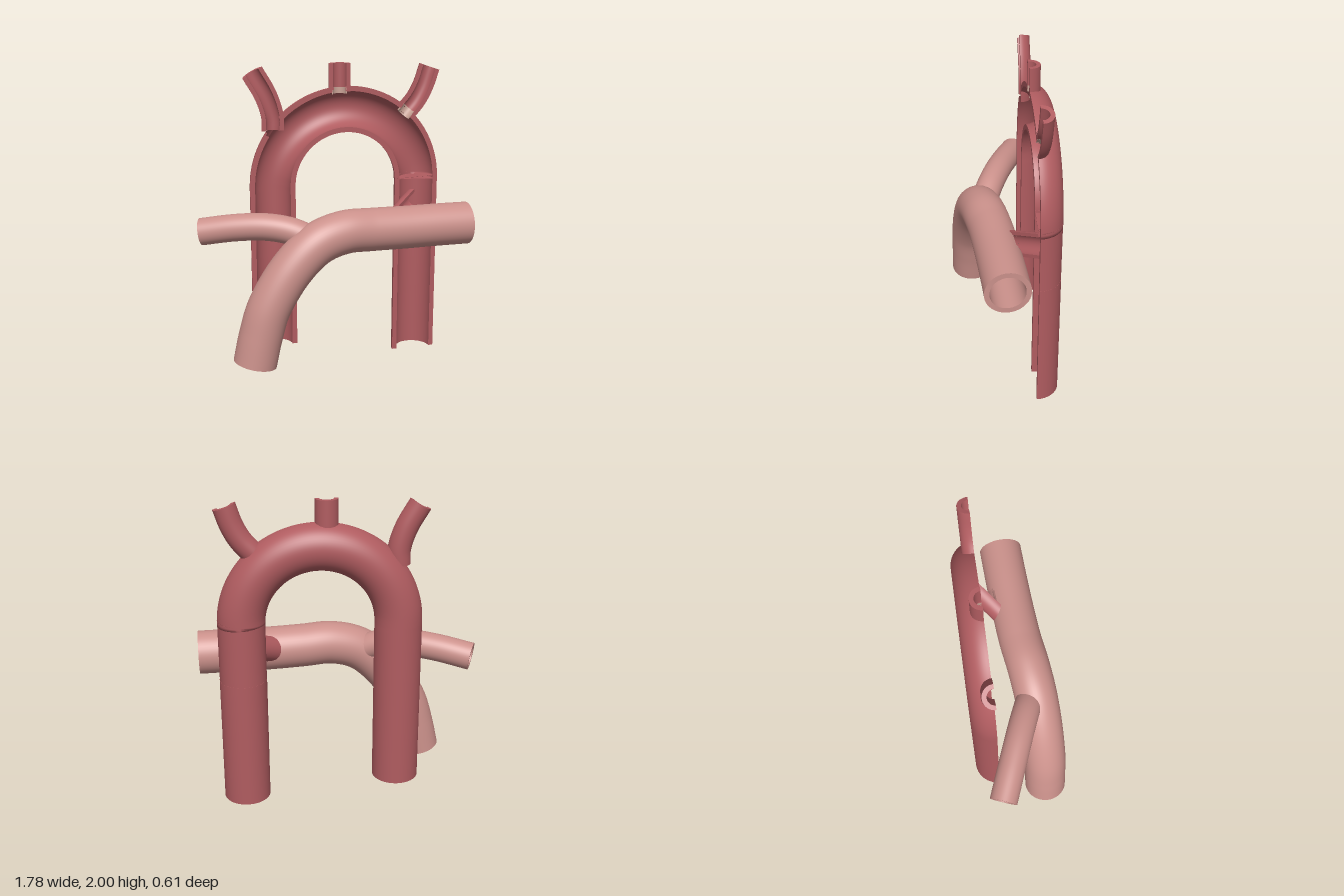
import * as THREE from 'three';
import { mergeGeometries, mergeVertices } from 'three/addons/utils/BufferGeometryUtils.js';

const V = (x, y, z) => new THREE.Vector3(x, y, z);
const CUT = -0.155; // plane in which the arch is sliced open
const FRONT = V(0, 0, 1);

const material = (name, color) =>
  Object.assign(new THREE.MeshStandardMaterial({ color, side: THREE.DoubleSide }), { name });

// Grid surface from a rule; cells whose middle lies in a hole are left out
function sheet(nu, nv, rule, inHole) {
  const pos = [], index = [], pts = [];
  for (let i = 0; i <= nu; i++) {
    for (let j = 0; j <= nv; j++) {
      const p = rule(i / nu, j / nv);
      pts.push(p);
      pos.push(p.x, p.y, p.z);
    }
  }
  for (let i = 0; i < nu; i++) {
    for (let j = 0; j < nv; j++) {
      const a = i * (nv + 1) + j, b = a + 1, c = a + nv + 1, d = c + 1;
      if (inHole && inHole(pts[a].clone().add(pts[d]).multiplyScalar(0.5))) continue;
      index.push(a, b, c, b, d, c);
    }
  }
  let g = new THREE.BufferGeometry();
  g.setAttribute('position', new THREE.Float32BufferAttribute(pos, 3));
  g.setIndex(index);
  g = mergeVertices(g, 1e-5);
  g.computeVertexNormals();
  return g;
}

// Thick-walled pipe along a curve; a half pipe opens toward "open"
function pipe(curve, R, r, { half = false, open = FRONT, nu = 40, inHole = null } = {}) {
  const A = half ? Math.PI : Math.PI * 2, nv = half ? 28 : 48;
  const frames = [];
  for (let i = 0; i <= nu; i++) {
    const P = curve.getPointAt(i / nu), T = curve.getTangentAt(i / nu);
    const B = T.clone().cross(open).normalize();
    frames.push({ P, B, N: B.clone().cross(T) });
  }
  const at = (u, a, rad) => {
    const { P, B, N } = frames[Math.round(u * nu)];
    return P.clone().addScaledVector(B, Math.cos(a) * rad).addScaledVector(N, -Math.sin(a) * rad);
  };
  const w = R - r;
  const parts = [
    sheet(nu, nv, (s, t) => at(s, A * t, R), inHole),
    sheet(nu, nv, (s, t) => at(s, A * (1 - t), r), inHole),
    sheet(1, nv, (s, t) => at(0, A * t, r + w * s)),
    sheet(1, nv, (s, t) => at(1, A * t, R - w * s)),
  ];
  if (half) {
    parts.push(sheet(nu, 4, (s, t) => at(s, 0, r + w * t), inHole));
    parts.push(sheet(nu, 4, (s, t) => at(s, Math.PI, R - w * t), inHole));
  }
  return mergeGeometries(parts);
}

const path = (...p) => new THREE.CatmullRomCurve3(p.map((q) => V(...q)));

// Test for points close to the first part of a curve
function near(curves, radius, reach = 0.4) {
  const pts = curves.flatMap((c) => Array.from({ length: 13 }, (_, i) => c.getPointAt((i / 12) * reach)));
  return (p) => pts.some((q) => q.distanceTo(p) < radius);
}

export function createModel() {
  const group = new THREE.Group();
  const red = material('arteryRed', 0xb05c60);
  const pink = material('trunkPink', 0xcb918b);
  const pale = material('liningPale', 0xcaa396);
  const add = (name, geometry, mat) => {
    const m = new THREE.Mesh(geometry, mat);
    m.name = name;
    group.add(m);
  };

  // Branches on top of the arch
  const branches = {
    rightBranch: path([-0.385, 1.585, CUT], [-0.385, 1.68, CUT], [-0.425, 1.81, CUT], [-0.508, 1.958, CUT]),
    middleBranch: path([0.057, 1.82, CUT], [0.057, 1.91, CUT], [0.057, 2, CUT]),
    leftBranch: path([0.505, 1.67, CUT], [0.575, 1.75, CUT], [0.625, 1.84, CUT], [0.667, 1.963, CUT]),
  };
  for (const [name, c] of Object.entries(branches))
    add(name, pipe(c, 0.072, 0.045, { half: true, nu: 24 }), red);

  // Pale linings where branches open into the arch
  const linings = {
    middleLining: path([0.057, 1.805, CUT], [0.057, 1.845, CUT]),
    leftLining: path([0.49, 1.655, CUT], [0.53, 1.70, CUT]),
  };
  for (const [name, c] of Object.entries(linings))
    add(name, pipe(c, 0.05, 0.043, { half: true, nu: 2 }), pale);

  // Sliced arch with its short leg
  const arch = [];
  for (const y of [0.12, 0.4, 0.7, 0.95, 1.1, 1.17]) arch.push([-0.39, y, CUT]);
  for (let i = 0; i <= 24; i++) {
    const a = Math.PI * (1 - i / 24);
    arch.push([0.1 + 0.49 * Math.cos(a), 1.215 + 0.49 * Math.sin(a), CUT]);
  }
  arch.push([0.59, 1.24, CUT]);
  const inHole = near(Object.values(branches), 0.046);
  add('arch', pipe(path(...arch), 0.15, 0.117, { half: true, nu: 220, inHole }), red);

  // Long leg in two lengths
  add('upperLeg', pipe(path([0.59, 1.24, CUT], [0.59, 0.84, CUT]), 0.149, 0.117, { half: true, nu: 4 }), red);
  add('lowerLeg', pipe(path([0.59, 0.84, CUT], [0.59, 0, CUT]), 0.15, 0.119, { half: true, nu: 4 }), red);

  // Sliced duct joining the trunk to the long leg
  const duct = path([0.34, 0.945, 0.055], [0.6, 1.066, -0.178]);
  add('duct', pipe(duct, 0.083, 0.06, { half: true, open: V(0.67, 0, 0.74), nu: 12 }), red);

  // Trunk sweeping across the front
  const trunk = path([-0.59, 0.15, 0.165], [-0.55, 0.33, 0.165], [-0.49, 0.52, 0.165], [-0.34, 0.755, 0.155],
    [-0.17, 0.905, 0.138], [0.01, 0.96, 0.115], [0.2, 0.957, 0.088], [0.42, 0.95, 0.07], [0.65, 0.947, 0.056],
    [0.876, 0.943, 0.046]);
  add('trunk', pipe(trunk, 0.14, 0.108, { nu: 110, inHole: near([duct], 0.06, 0.7) }), pink);

  // Side branch of the trunk
  const side = path([-0.2, 0.925, 0.1], [-0.32, 0.975, 0.05], [-0.47, 0.997, -0.01], [-0.65, 0.987, -0.08],
    [-0.863, 0.953, -0.163]);
  add('trunkBranch', pipe(side, 0.088, 0.062, { nu: 40 }), pink);

  return group;
}
